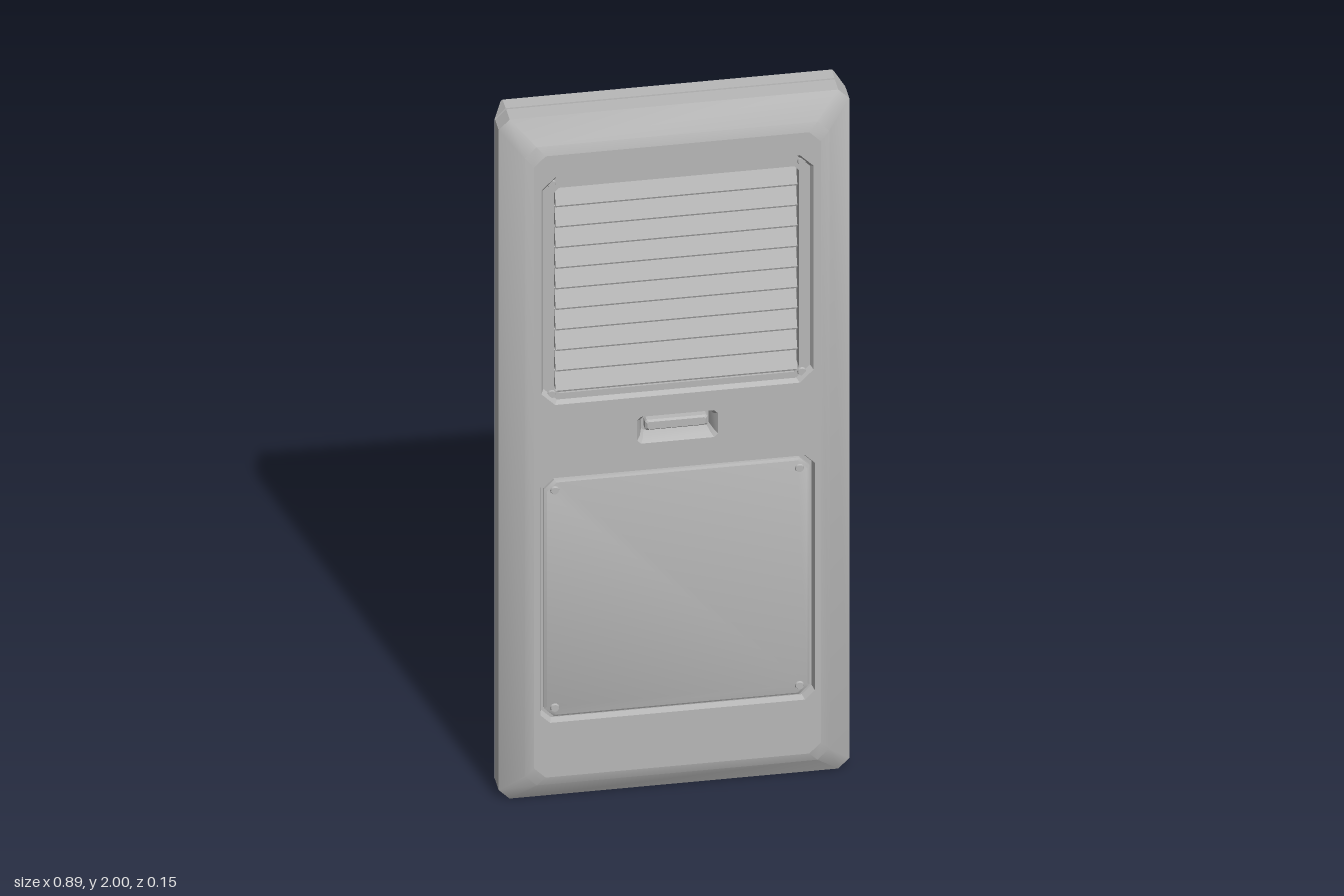
import * as THREE from 'three';
import { toCreasedNormals } from 'three/addons/utils/BufferGeometryUtils.js';

// Rectangle with cut corners, anticlockwise seen from the front
function ring(w, y0, y1, c) {
  return [
    [w, y0 + c], [w, y1 - c], [w - c, y1], [-w + c, y1],
    [-w, y1 - c], [-w, y0 + c], [-w + c, y0], [w - c, y0],
  ];
}

// Skin through rings given as [z, halfWidth, bottom, top, cornerCut]
function loft(rings, { front = false, back = false } = {}, crease = 0.45) {
  const loops = rings.map(([z, ...r]) => ring(...r).map(([x, y]) => new THREE.Vector3(x, y, z)));
  const tris = [];
  for (let k = 0; k < loops.length - 1; k++) {
    for (let i = 0; i < 8; i++) {
      const j = (i + 1) % 8, a = loops[k], b = loops[k + 1];
      tris.push(a[i], a[j], b[j], a[i], b[j], b[i]);
    }
  }
  const last = loops[loops.length - 1], first = loops[0];
  for (let i = 1; i < 7; i++) {
    if (front) tris.push(last[0], last[i], last[i + 1]);
    if (back) tris.push(first[0], first[i + 1], first[i]);
  }
  return toCreasedNormals(new THREE.BufferGeometry().setFromPoints(tris), crease);
}

// Flat face with cut-corner openings
function plate(outer, holes, z) {
  const points = (r) => ring(...r).map(([x, y]) => new THREE.Vector2(x, y));
  const shape = new THREE.Shape(points(outer));
  holes.forEach((h) => shape.holes.push(new THREE.Path(points(h))));
  return new THREE.ShapeGeometry(shape).translate(0, 0, z);
}

export function createModel() {
  const group = new THREE.Group();
  const grey = new THREE.MeshStandardMaterial({ color: 0xb8b8b8 });
  grey.name = 'grey';
  const add = (name, geometry) => {
    const mesh = new THREE.Mesh(geometry, grey);
    mesh.name = name;
    group.add(mesh);
    return mesh;
  };

  const faceZ = 0.073;
  const face = [0.366, 0.085, 1.915, 0.03];
  const ventHole = [0.347, 1.18, 1.85, 0.035];
  const panelHole = [0.35, 0.245, 0.965, 0.025];
  const handleHole = [0.103, 1.043, 1.122, 0.01];

  // Door shell with a seam around its edge and a bevelled front
  add('doorShell', loft([
    [-0.078, 0.425, 0, 2, 0.005],
    [-0.036, 0.447, 0, 2, 0.028],
    [-0.035, 0.438, 0.008, 1.992, 0.028],
    [-0.031, 0.438, 0.008, 1.992, 0.028],
    [-0.03, 0.447, 0, 2, 0.028],
    [0.02, 0.447, 0, 2, 0.028],
    [0.066, 0.388, 0.06, 1.94, 0.03],
    [faceZ, ...face],
  ], { back: true }));
  add('doorFace', plate(face, [ventHole, panelHole, handleHole], faceZ));

  // Ventilation recess, frame and opening
  const ventOpening = [0.312, 1.205, 1.81, 0.012];
  add('ventRecess', loft([
    [faceZ, ...ventHole],
    [0.059, 0.34, 1.187, 1.843, 0.035],
  ]));
  add('ventFrame', plate([0.34, 1.187, 1.843, 0.035], [ventOpening], 0.059));
  add('ventOpening', loft([
    [0.059, ...ventOpening],
    [0.02, ...ventOpening],
  ], { front: true }));

  // Sloping slats, leaning out at the bottom
  const slats = 10, pitch = 0.0605;
  const profile = new THREE.Shape([
    [0.02, 0.002], [0.056, 0.002], [0.058, 0.007], [0.034, pitch], [0.02, pitch],
  ].map(([z, y]) => new THREE.Vector2(z, y)));
  const slat = new THREE.ExtrudeGeometry(profile, { depth: 0.616, bevelEnabled: false });
  slat.rotateY(-Math.PI / 2).translate(0.308, 0, 0);
  for (let i = 0; i < slats; i++) add('ventSlat', slat).position.y = 1.205 + i * pitch;

  // Lower access panel sitting in a shallow recess
  add('panelRecess', loft([
    [faceZ, ...panelHole],
    [0.054, 0.345, 0.25, 0.96, 0.025],
  ], { front: true }));
  add('accessPanel', loft([
    [0.053, 0.338, 0.257, 0.953, 0.025],
    [0.062, 0.338, 0.257, 0.953, 0.025],
    [0.066, 0.332, 0.263, 0.947, 0.025],
  ], { front: true }));

  // Handle cup with a grip inside
  add('handleCup', loft([
    [faceZ, ...handleHole],
    [0.06, 0.094, 1.052, 1.114, 0.008],
    [0.032, 0.086, 1.058, 1.108, 0.006],
  ], { front: true }));
  add('handleGrip', loft([
    [0.032, 0.08, 1.07, 1.1, 0.004],
    [0.054, 0.08, 1.07, 1.1, 0.004],
    [0.06, 0.074, 1.075, 1.096, 0.004],
  ], { front: true }));

  // Corner screws of both panels
  const screw = new THREE.CylinderGeometry(0.01, 0.013, 0.008, 12).rotateX(Math.PI / 2);
  const rows = [[1.205, 0.319, 0.06], [1.825, 0.319, 0.06], [0.285, 0.312, 0.067], [0.925, 0.312, 0.067]];
  for (const [y, x, z] of rows) {
    for (const side of [-1, 1]) add('screw', screw).position.set(side * x, y, z);
  }

  return group;
}
